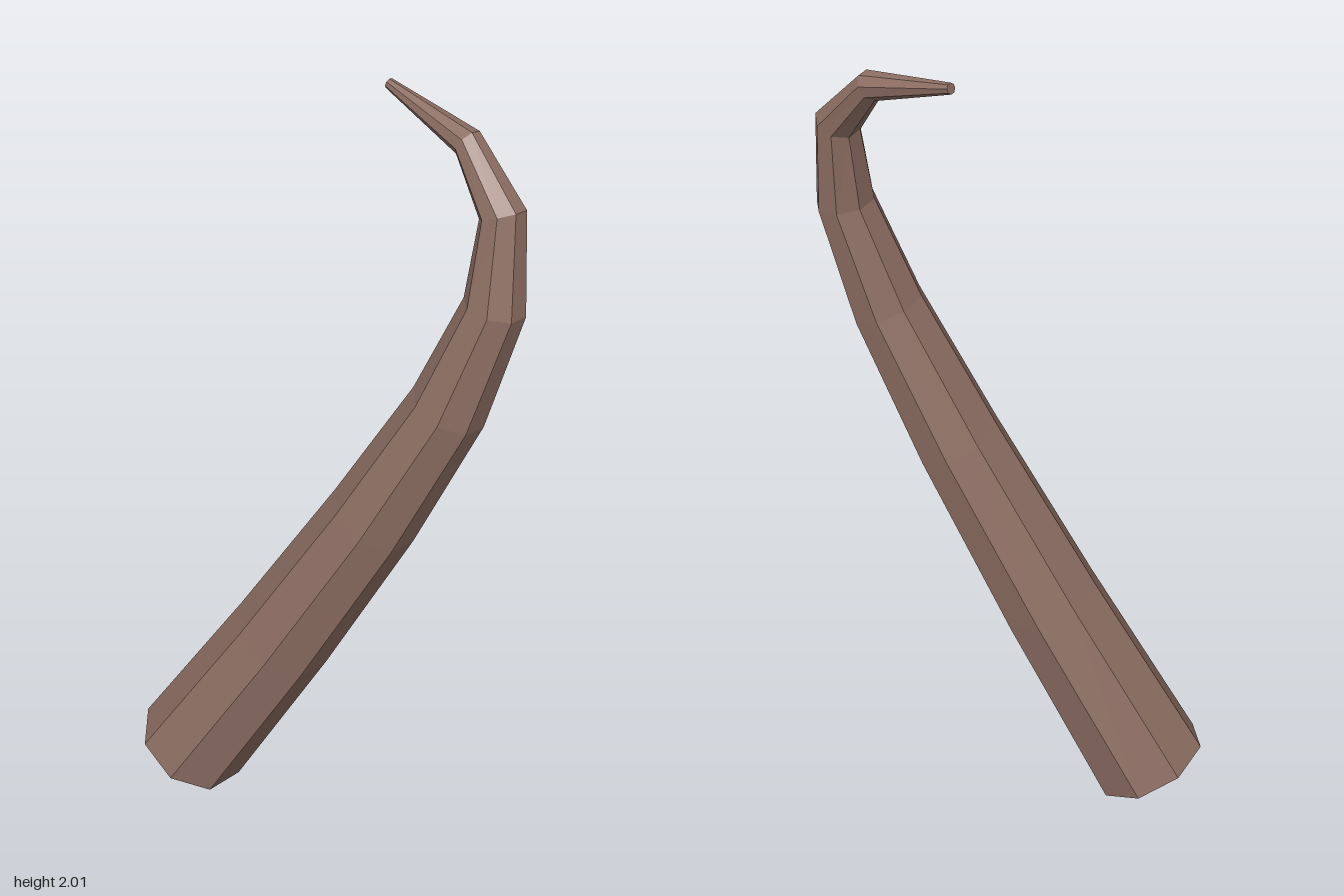
import * as THREE from 'three';

const SIDES = 8;

// Centreline points with radius: x, y, z, r
const RINGS = [
  [-0.315, 0.068, -0.126, 0.153],
  [-0.07, 0.555, -0.005, 0.132],
  [0.14, 1.0, 0.1, 0.111],
  [0.29, 1.35, 0.172, 0.09],
  [0.373, 1.617, 0.195, 0.07],
  [0.383, 1.82, 0.163, 0.052],
  [0.32, 1.937, 0.06, 0.034],
  [0.178, 1.99, -0.128, 0.012],
];

// Tapered tube: octagonal rings carried along the centreline without twist
function hornGeometry() {
  const centres = RINGS.map(([x, y, z]) => new THREE.Vector3(x, y, z));
  const last = centres.length - 1;
  const step = (i) => centres[i + 1].clone().sub(centres[i]).normalize();
  const positions = [];
  const index = [];
  const u = new THREE.Vector3(0.125, -0.065, 0.062);
  let previous = null;

  centres.forEach((c, i) => {
    const t = step(Math.min(i, last - 1));
    if (i > 0 && i < last) t.add(step(i - 1)).normalize();
    if (previous) u.applyQuaternion(new THREE.Quaternion().setFromUnitVectors(previous, t));
    u.addScaledVector(t, -u.dot(t)).normalize();
    previous = t;
    const w = t.clone().cross(u);
    for (let j = 0; j < SIDES; j++) {
      const a = (j / SIDES) * Math.PI * 2;
      const p = c.clone()
        .addScaledVector(u, Math.cos(a) * RINGS[i][3])
        .addScaledVector(w, Math.sin(a) * RINGS[i][3]);
      positions.push(p.x, p.y, p.z);
    }
  });

  // Sides
  for (let i = 0; i < last; i++) {
    for (let j = 0; j < SIDES; j++) {
      const a = i * SIDES + j;
      const b = i * SIDES + ((j + 1) % SIDES);
      index.push(a, b, b + SIDES, a, b + SIDES, a + SIDES);
    }
  }
  // Flat caps at the base and the tip
  const top = last * SIDES;
  for (let j = 1; j < SIDES - 1; j++) {
    index.push(0, j + 1, j);
    index.push(top, top + j, top + j + 1);
  }

  const indexed = new THREE.BufferGeometry();
  indexed.setAttribute('position', new THREE.Float32BufferAttribute(positions, 3));
  indexed.setIndex(index);
  const geometry = indexed.toNonIndexed();
  geometry.computeVertexNormals();
  return geometry;
}

export function createModel() {
  const group = new THREE.Group();
  group.name = 'curvedHorn';
  const brown = new THREE.MeshStandardMaterial({ color: 0x8d6e63, flatShading: true });
  brown.name = 'brown';
  const horn = new THREE.Mesh(hornGeometry(), brown);
  horn.name = 'horn';
  group.add(horn);
  return group;
}
